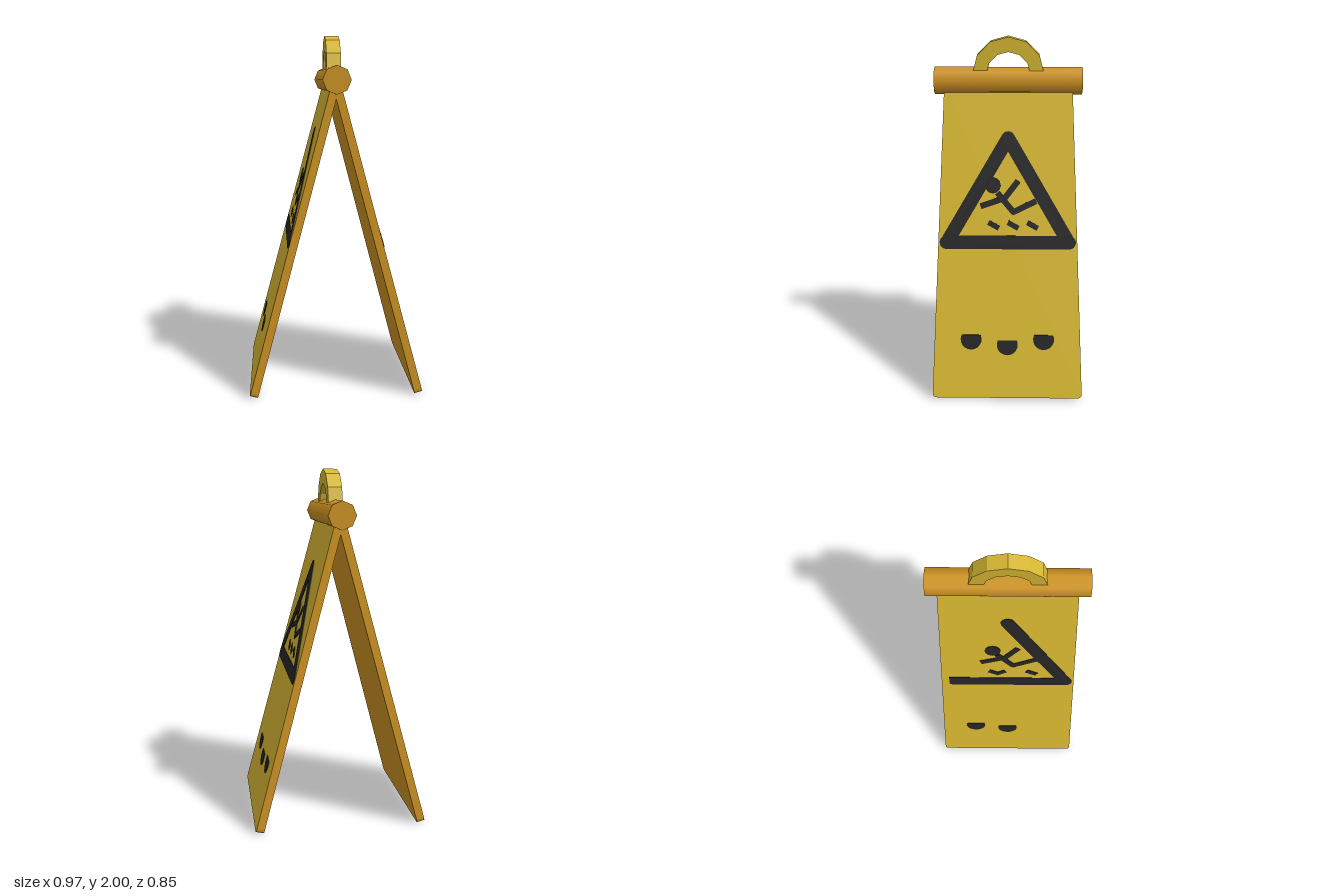
import * as THREE from 'three';

const yellow = new THREE.MeshStandardMaterial({ color: 0xd8b832 });
yellow.name = 'yellow';
yellow.flatShading = true;
const orange = new THREE.MeshStandardMaterial({ color: 0xcf9422 });
orange.name = 'orange';
const black = new THREE.MeshStandardMaterial({ color: 0x252525 });
black.name = 'black';

const TILT = Math.PI / 12;
const PIVOT = 1.74;
const THICK = 0.045;
const LENGTH = 1.795;

// Height above the ground -> distance along the outer face of a tilted panel
const up = (y) => (y - PIVOT - 0.006) / Math.cos(TILT);

function add(parent, name, geometry, material) {
  const mesh = new THREE.Mesh(geometry, material);
  mesh.name = name;
  parent.add(mesh);
  return mesh;
}

function plate(parent, name, shape) {
  const geo = new THREE.ExtrudeGeometry(shape, { depth: 0.004, bevelEnabled: false, curveSegments: 6 });
  return add(parent, name, geo.translate(0, 0, THICK / 2), black);
}

// Straight stroke between two points (sideways, height), with square or round ends
function stroke(parent, name, [x1, y1], [x2, y2], width, round = false) {
  const a = new THREE.Vector2(x1, up(y1));
  const b = new THREE.Vector2(x2, up(y2));
  const angle = Math.atan2(b.y - a.y, b.x - a.x);
  const r = width / 2;
  const n = new THREE.Vector2(-Math.sin(angle), Math.cos(angle)).multiplyScalar(r);
  const shape = new THREE.Shape();
  shape.moveTo(a.x - n.x, a.y - n.y);
  shape.lineTo(b.x - n.x, b.y - n.y);
  if (round) shape.absarc(b.x, b.y, r, angle - Math.PI / 2, angle + Math.PI / 2, false);
  else shape.lineTo(b.x + n.x, b.y + n.y);
  shape.lineTo(a.x + n.x, a.y + n.y);
  if (round) shape.absarc(a.x, a.y, r, angle + Math.PI / 2, angle + Math.PI * 1.5, false);
  plate(parent, name, shape);
}

function drop(parent, x, bottom) {
  const cy = up(bottom + 0.06);
  const shape = new THREE.Shape();
  shape.moveTo(x, up(bottom + 0.183));
  shape.absarc(x, cy, 0.06, Math.PI * 0.86, Math.PI * 2.14, false);
  plate(parent, 'waterDrop', shape);
}

function panelShape() {
  const top = 0.36, bottom = 0.427, r = 0.025;
  const s = new THREE.Shape();
  s.moveTo(-top, 0);
  s.lineTo(-bottom, -LENGTH + r);
  s.quadraticCurveTo(-bottom, -LENGTH, -bottom + r, -LENGTH);
  s.lineTo(bottom - r, -LENGTH);
  s.quadraticCurveTo(bottom, -LENGTH, bottom, -LENGTH + r);
  s.lineTo(top, 0);
  return s;
}

// Slipping figure: head, arms, body and leg
function figure(parent) {
  const head = new THREE.Shape();
  head.absellipse(-0.085, up(1.19), 0.045, 0.047, 0, Math.PI * 2);
  plate(parent, 'figureHead', head);
  const limbs = [
    ['figureArm', [-0.155, 1.075], [-0.02, 1.12]],
    ['figureBody', [-0.06, 1.15], [0.035, 1.04]],
    ['figureRaisedLeg', [0.058, 1.215], [-0.03, 1.105]],
    ['figureLeg', [0.022, 1.04], [0.16, 1.105]],
  ];
  for (const [name, a, b] of limbs) stroke(parent, name, a, b, 0.034);
}

// One leaning board; the worn one has lost some of its markings
function board(name, side, worn) {
  const g = new THREE.Group();
  g.name = name;
  g.position.y = PIVOT;
  g.rotation.set(-TILT, side * Math.PI / 2, 0, 'YXZ');

  const core = new THREE.ExtrudeGeometry(panelShape(), { depth: THICK, bevelEnabled: false, curveSegments: 4 });
  add(g, 'panel', core.translate(0, 0, -THICK / 2), orange);
  const face = new THREE.ShapeGeometry(panelShape(), 4);
  add(g, 'panelFace', face.translate(0, 0, THICK / 2 + 0.001), yellow);

  // Warning triangle
  stroke(g, 'triangleBase', [-0.348, 0.877], [0.348, 0.877], 0.077, !worn);
  stroke(g, 'triangleSide', [0.345, 0.877], [0, 1.447], 0.077, true);
  if (!worn) stroke(g, 'triangleSide', [-0.345, 0.877], [0, 1.447], 0.077, true);

  figure(g);

  // Puddle marks under the figure
  for (const x of [-0.11, 0, 0.11]) {
    if (worn && x === 0) stroke(g, 'puddleMark', [-0.06, 0.957], [-0.015, 0.985], 0.028);
    else stroke(g, 'puddleMark', [x, 0.987], [x + 0.06, 0.955], 0.03);
  }

  // Water drops
  drop(g, -0.207, 0.28);
  drop(g, 0, 0.25);
  if (!worn) drop(g, 0.207, 0.28);
  return g;
}

export function createModel() {
  const model = new THREE.Group();
  model.name = 'floorSign';
  model.add(board('leftBoard', 1, false), board('rightBoard', -1, true));

  // Hinge bar along the top
  const hinge = add(model, 'hingeBar', new THREE.CylinderGeometry(0.077, 0.077, 0.83, 8), orange);
  hinge.rotation.x = Math.PI / 2;
  hinge.position.y = 1.755;

  // Faceted half-ring handle
  const ring = new THREE.Shape();
  for (let i = 0; i <= 6; i++) {
    const a = (i * Math.PI) / 6;
    ring[i ? 'lineTo' : 'moveTo'](0.2 * Math.cos(a), 0.2 * Math.sin(a));
  }
  for (let i = 6; i >= 0; i--) {
    const a = (i * Math.PI) / 6;
    ring.lineTo(0.122 * Math.cos(a), 0.118 * Math.sin(a));
  }
  const handleGeo = new THREE.ExtrudeGeometry(ring, { depth: 0.08, bevelEnabled: false });
  const handle = add(model, 'handle', handleGeo.translate(0, 0, -0.04), yellow);
  handle.rotation.y = Math.PI / 2;
  handle.position.y = 1.8;
  return model;
}
